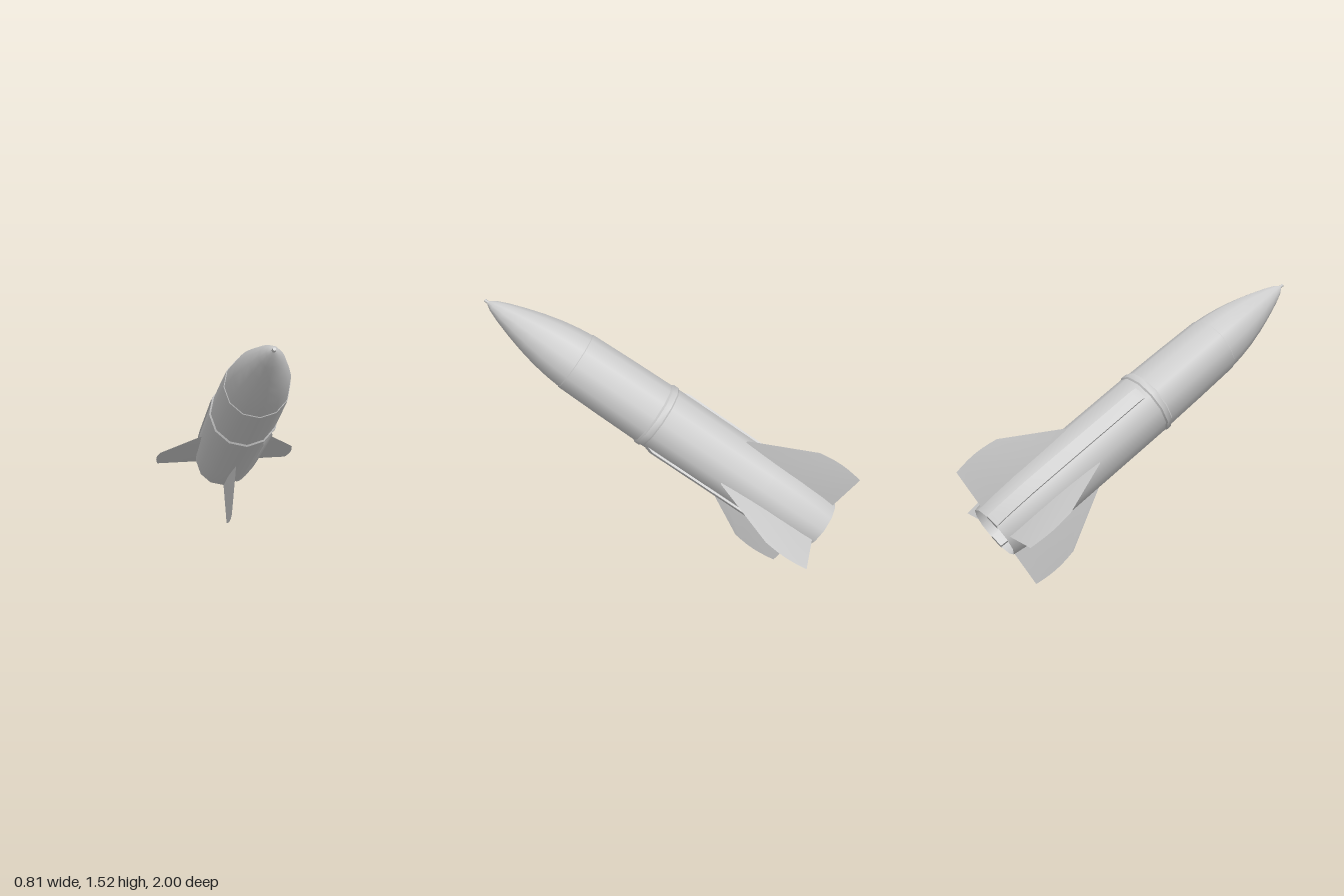
import * as THREE from 'three';
import { toCreasedNormals } from 'three/addons/utils/BufferGeometryUtils.js';

const SIDES = 12;
const material = new THREE.MeshStandardMaterial({ color: 0xcccccc, side: THREE.DoubleSide });

function addMesh(parent, name, geometry) {
  const mesh = new THREE.Mesh(geometry, material);
  mesh.name = name;
  parent.add(mesh);
  return mesh;
}

// Turned part: profile of [height along the axis, radius]
function turned(profile) {
  return new THREE.LatheGeometry(profile.map(([s, r]) => new THREE.Vector2(r, s)), SIDES);
}

// Skin over closed cross-sections (arrays of [x, y, z]) with both ends capped
function loft(rings, crease) {
  const n = rings[0].length;
  const index = [];
  for (let i = 0; i < rings.length - 1; i++) {
    for (let j = 0; j < n; j++) {
      const k = (j + 1) % n;
      const a = i * n + j, b = i * n + k, c = b + n, d = a + n;
      index.push(a, b, c, a, c, d);
    }
  }
  const last = (rings.length - 1) * n;
  for (let j = 1; j < n - 1; j++) {
    index.push(0, j + 1, j, last, last + j, last + j + 1);
  }
  const geometry = new THREE.BufferGeometry();
  geometry.setAttribute('position', new THREE.Float32BufferAttribute(rings.flat(2), 3));
  geometry.setIndex(index);
  return toCreasedNormals(geometry, crease);
}

// Swept fin with a lens section and a bowed tip; span along x, chord along y
function finGeometry() {
  const trailing = 0.02, steps = 6;
  const rows = [
    { r: 0.15, lead: 0.62, half: 0.012, bow: 0 },
    { r: 0.19, lead: 0.62, half: 0.011, bow: 0 },
    { r: 0.39, lead: 0.287, half: 0.002, bow: 0.014 },
  ];
  const rings = rows.map(({ r, lead, half, bow }) => {
    const ring = [];
    for (let j = 0; j < 2 * steps; j++) {
      const t = j <= steps ? j / steps : 2 - j / steps;
      const swell = Math.sin(Math.PI * t);
      ring.push([
        r + bow * swell,
        THREE.MathUtils.lerp(lead, trailing, t),
        (j <= steps ? 1 : -1) * half * swell,
      ]);
    }
    return ring;
  });
  return loft(rings, 0.6);
}

// Flat-topped cable cover that follows the hull on the diagonal
function cableCoverGeometry() {
  const w = 0.037, q = Math.SQRT1_2;
  const stations = [[0, 0.156], [0.1, 0.171], [0.25, 0.183], [0.4, 0.185], [1.0, 0.185], [1.055, 0.168]];
  const rings = stations.map(([s, outer]) => {
    const inner = outer - 0.03;
    return [[inner, -w], [outer, -w], [outer, w], [inner, w]]
      .map(([u, v]) => [(u + v) * q, s, (u - v) * q]);
  });
  return loft(rings, 0.4);
}

export function createModel() {
  const model = new THREE.Group();
  model.name = 'rocket';

  // Everything is built upright from the tail, then tilted nose up and forward
  const rocket = new THREE.Group();
  rocket.name = 'tiltedRocket';
  rocket.position.set(0, 0.315, -0.8);
  rocket.rotation.x = THREE.MathUtils.degToRad(56.4);
  model.add(rocket);

  // Hull sections, open at the tail
  addMesh(rocket, 'lowerHull', turned([
    [0, 0.151], [0.1, 0.166], [0.25, 0.177], [0.4, 0.179], [1.08, 0.179],
  ]));
  addMesh(rocket, 'joiningRing', toCreasedNormals(turned([
    [1.06, 0.178], [1.07, 0.185], [1.1, 0.185], [1.11, 0.176],
  ]), 0.55));
  addMesh(rocket, 'upperHull', turned([[1.08, 0.177], [1.35, 0.172], [1.6, 0.165]]));
  addMesh(rocket, 'noseSeam', turned([[1.6, 0.165], [1.604, 0.161]]));

  // Nose cone and its tip pin
  addMesh(rocket, 'noseCone', turned([
    [1.604, 0.161], [1.68, 0.153], [1.77, 0.138], [1.87, 0.114],
    [1.96, 0.087], [2.05, 0.056], [2.11, 0.031], [2.14, 0.01],
  ]));
  const pin = addMesh(rocket, 'nosePin', new THREE.CylinderGeometry(0.008, 0.008, 0.04, 8));
  pin.position.y = 2.142;

  // Four fins in a cross
  const fin = finGeometry();
  for (let i = 0; i < 4; i++) {
    addMesh(rocket, `fin${i + 1}`, fin).rotation.y = i * Math.PI / 2;
  }

  // Two cable covers on opposite diagonals
  const cover = cableCoverGeometry();
  for (let i = 0; i < 2; i++) {
    addMesh(rocket, `cableCover${i + 1}`, cover).rotation.y = i * Math.PI;
  }

  return model;
}
